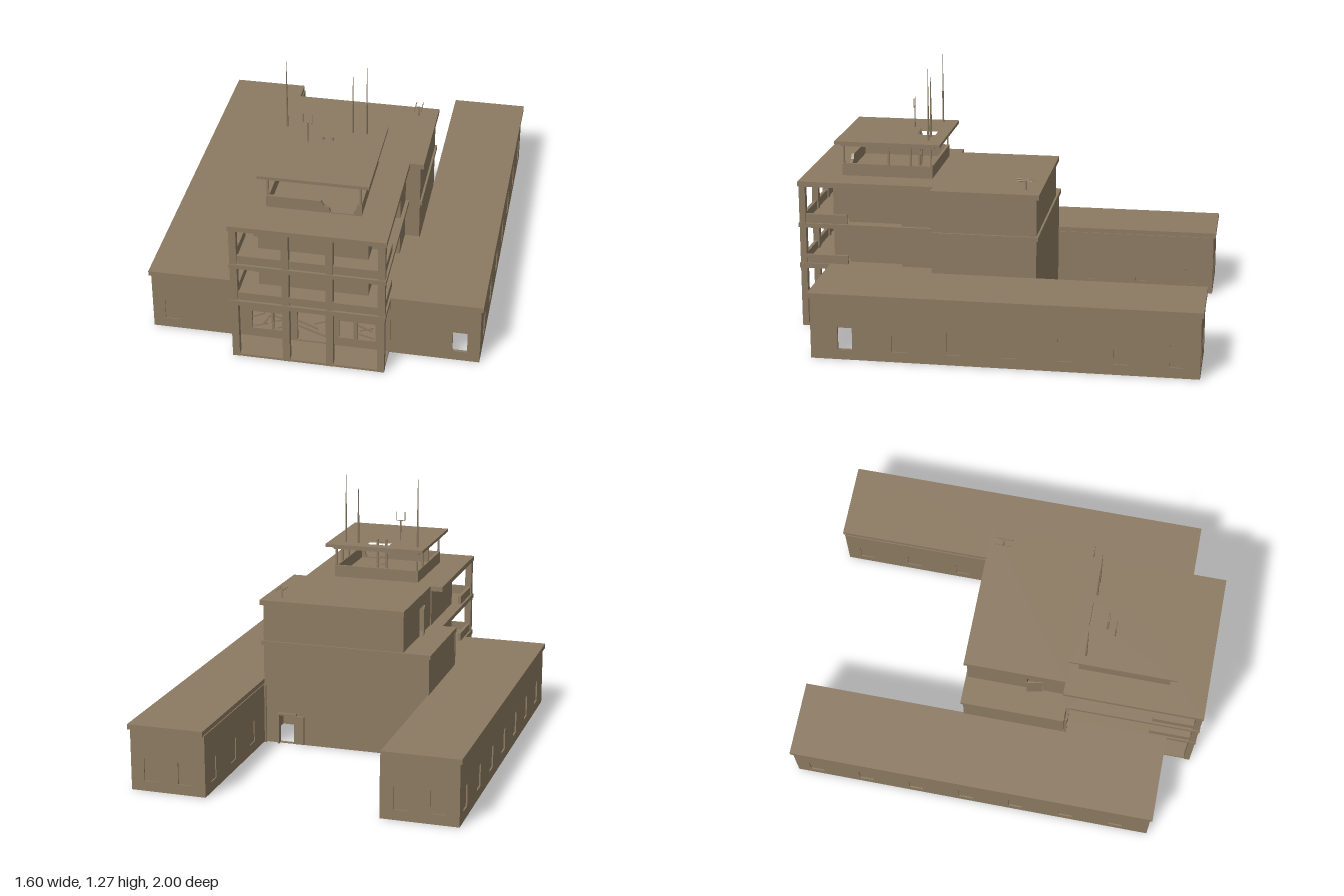
import * as THREE from 'three';

const concrete = new THREE.MeshStandardMaterial({ color: 0x8c7a62 });
concrete.name = 'weathered concrete';

export function createModel() {
  const model = new THREE.Group();
  model.name = 'controlBuilding';

  const add = (name, geo, parent = model) => {
    const m = new THREE.Mesh(geo, concrete);
    m.name = name;
    parent.add(m);
    return m;
  };
  // Box given by its extents along each axis
  const box = (name, x0, x1, y0, y1, z0, z1, parent) => {
    const m = add(name, new THREE.BoxGeometry(x1 - x0, y1 - y0, z1 - z0), parent);
    m.position.set((x0 + x1) / 2, (y0 + y1) / 2, (z0 + z1) / 2);
    return m;
  };
  const rod = (name, a, b, r0, r1 = r0, parent) => {
    const p = new THREE.Vector3(...a), q = new THREE.Vector3(...b), d = q.clone().sub(p);
    const m = add(name, new THREE.CylinderGeometry(r1, r0, d.length(), 6), parent);
    m.position.copy(p).addScaledVector(d, 0.5);
    m.quaternion.setFromUnitVectors(new THREE.Vector3(0, 1, 0), d.normalize());
    return m;
  };
  // Extruded outline with rectangular holes [u0, u1, v0, v1]
  const plate = (pts, holes, depth) => {
    const s = new THREE.Shape(pts.map(p => new THREE.Vector2(...p)));
    for (const [a, b, c, d] of holes) {
      s.holes.push(new THREE.Path([[a, c], [a, d], [b, d], [b, c]].map(p => new THREE.Vector2(...p))));
    }
    return new THREE.ExtrudeGeometry(s, { depth, bevelEnabled: false });
  };
  const rect = (a, b, c, d) => [[a, c], [b, c], [b, d], [a, d]];
  // Wall across x, occupying z - t to z
  const wallX = (name, x0, x1, y0, y1, z, t, holes) => {
    add(name, plate(rect(x0, x1, y0, y1), holes, t)).position.z = z - t;
  };
  // Wall along z, occupying x - t to x
  const wallZ = (name, z0, z1, y0, y1, x, t, holes) => {
    const m = add(name, plate(rect(z0, z1, y0, y1), holes, t));
    m.rotation.y = -Math.PI / 2;
    m.position.x = x;
  };
  // Horizontal slab; outline is given in x, z
  const slab = (name, pts, holes, y0, y1) => {
    const g = plate(pts.map(([x, z]) => [x, -z]), holes.map(([a, b, c, d]) => [a, b, -d, -c]), y1 - y0);
    const m = add(name, g);
    m.rotation.x = -Math.PI / 2;
    m.position.y = y0;
  };

  // Side wings: hollow shells with recessed windows
  const T = 0.014, H = 0.302;
  const win = c => [c - 0.035, c + 0.035, 0.05, 0.16];
  for (const s of [1, -1]) {
    const zs = [0, 1, 2, 3, 4, 5, 6].map(i => 0.675 - i * 0.26);
    const outer = s > 0 ? 0.79 : -0.79 + T;
    wallZ('wingOuterWall', -0.99, 0.84, 0, H, outer, T, zs.map(win));
    zs.forEach((z, i) => {
      if (s > 0 && i === 0) return;
      box('wingWindowPane', s * 0.781 - 0.002, s * 0.781 + 0.002, 0.05, 0.16, z - 0.035, z + 0.035);
    });

    const inner = s > 0 ? 0.42 + T : -0.42;
    const yard = zs.slice(4);
    wallZ('wingYardWall', -0.99, 0.33, 0, H, inner, T, yard.map(win));
    yard.forEach(z => box('wingYardPane', s * 0.427 - 0.002, s * 0.427 + 0.002, 0.05, 0.16, z - 0.035, z + 0.035));

    const [a, b] = s > 0 ? [0.42, 0.79] : [-0.79, -0.42];
    const backs = [s * 0.52, s * 0.69];
    wallX('wingBackWall', a, b, 0, H, -0.99 + T, T, backs.map(win));
    backs.forEach(x => box('wingBackPane', x - 0.035, x + 0.035, 0.05, 0.16, -0.983, -0.979));

    const [c, d] = s > 0 ? [0.36, 0.79] : [-0.79, -0.36];
    wallX('wingFrontWall', c, d, 0, H, 0.84, T, [win(s * 0.695)]);
    if (s < 0) box('wingFrontPane', -0.73, -0.66, 0.05, 0.16, 0.831, 0.835);
    box('wingHallWall', s * 0.367 - 0.007, s * 0.367 + 0.007, 0, H, 0.33, 0.84);
    slab('wingRoof', [[s * 0.8, -1], [s * 0.425, -1], [s * 0.425, 0.33], [s * 0.365, 0.33], [s * 0.365, 0.85], [s * 0.8, 0.85]],
      [], 0.3, 0.325);
  }

  // Ground floor: slab, hall front with openings, partition, rear wall
  box('groundSlab', -0.36, 0.36, 0, 0.012, 0.1, 0.995);
  wallX('hallFrontWall', -0.365, 0.365, 0.01, 0.302, 0.85, 0.016, [
    [-0.08, 0.08, 0.02, 0.19], [-0.3, -0.205, 0.06, 0.16], [-0.195, -0.12, 0.06, 0.16],
    [0.12, 0.19, 0.06, 0.16], [0.21, 0.295, 0.06, 0.16]]);
  wallX('hallPartition', -0.42, 0.42, 0, 0.302, 0.11, 0.014, [[-0.25, -0.18, 0.02, 0.17], [0.18, 0.25, 0.02, 0.17]]);
  wallX('rearGroundWall', -0.43, 0.42, 0, 0.31, -0.166, 0.014, [[0.26, 0.34, 0.005, 0.15]]);
  // Broken boards across the hall openings
  const boards = [
    [-0.29, 0.07, -0.23, 0.09], [-0.3, 0.12, -0.24, 0.15], [-0.25, 0.08, -0.21, 0.14],
    [-0.19, 0.14, -0.13, 0.12], [-0.19, 0.11, -0.12, 0.13], [-0.18, 0.07, -0.13, 0.09],
    [-0.08, 0.13, 0.02, 0.09], [-0.08, 0.1, 0.06, 0.05], [0.0, 0.12, 0.08, 0.15],
    [0.21, 0.14, 0.28, 0.11], [0.21, 0.09, 0.29, 0.07], [0.22, 0.11, 0.28, 0.13]];
  for (const [x0, y0, x1, y1] of boards) {
    const m = add('brokenBoard', new THREE.BoxGeometry(Math.hypot(x1 - x0, y1 - y0), 0.008, 0.006));
    m.position.set((x0 + x1) / 2, (y0 + y1) / 2, 0.843);
    m.rotation.z = Math.atan2(y1 - y0, x1 - x0);
  }
  // Rear doorway with open leaf and canopy
  box('rearDoorLeaf', 0.21, 0.26, 0.005, 0.15, -0.195, -0.18);
  box('rearDoorLintel', 0.25, 0.35, 0.15, 0.16, -0.195, -0.18);
  box('rearDoorJamb', 0.34, 0.35, 0, 0.15, -0.195, -0.18);
  rod('drainPipe', [0.412, 0, -0.19], [0.412, 0.3, -0.19], 0.006);

  // Second and third floors
  box('secondFloorRear', -0.43, 0.42, 0.3, 0.515, -0.18, 0.33);
  box('thirdFloorRear', -0.265, 0.42, 0.525, 0.72, -0.18, 0.33);
  wallZ('terraceWall', -0.18, 0.33, 0.525, 0.72, -0.265, 0.035, [[0.12, 0.2, 0.532, 0.67]]);
  const leaf = box('terraceDoorLeaf', -0.315, -0.309, 0.532, 0.67, 0.12, 0.2);
  leaf.rotation.y = 0.18;
  for (const [y0, y1] of [[0.315, 0.515], [0.525, 0.72]]) {
    box('frontRooms', -0.305, 0.31, y0, y1, 0.33, 0.76);
    box('sideRoom', 0.3, 0.35, y0, y1, 0.33, 0.49);
    box('frontBay', -0.26, 0.26, y0, y1, 0.75, 0.85);
  }

  // Floor bands and main roof
  box('firstFloorSlab', -0.365, 0.365, 0.3, 0.325, 0.32, 1);
  slab('secondFloorSlab', [[-0.44, -0.19], [0.43, -0.19], [0.43, 0.33], [0.367, 0.33], [0.367, 1],
    [-0.367, 1], [-0.367, 0.33], [-0.44, 0.33]], [], 0.508, 0.53);
  slab('mainRoof', [[-0.305, -0.195], [0.435, -0.195], [0.435, 0.33], [0.367, 0.33], [0.367, 1],
    [-0.367, 1], [-0.367, 0.31], [-0.305, 0.31]], [[-0.06, 0.06, 0.5, 0.6]], 0.715, 0.74);

  // Front columns and balcony parapets
  for (const x of [-0.345, -0.103, 0.103, 0.345]) box('frontColumn', x - 0.017, x + 0.017, 0, 0.72, 0.965, 0.996);
  for (const y of [0.32, 0.527]) {
    box('balconyParapet', -0.35, 0.35, y, y + 0.047, 0.972, 0.988);
    for (const s of [-1, 1]) box('sideParapet', s * 0.348 - 0.008, s * 0.348 + 0.008, y, y + 0.047, 0.76, 0.98);
  }

  // Lookout tower: parapet with a broken front, posts and overhanging roof
  add('towerFrontParapet', plate([[-0.225, 0.735], [0.22, 0.735], [0.22, 0.8], [0.2, 0.8], [0.192, 0.77],
    [0.18, 0.745], [0.075, 0.745], [0.068, 0.765], [0.045, 0.775], [0.03, 0.8], [-0.225, 0.8]], [], 0.014)).position.z = 0.796;
  box('towerRearParapet', -0.225, 0.22, 0.735, 0.8, 0.36, 0.374);
  box('towerLeftParapet', 0.206, 0.22, 0.735, 0.8, 0.36, 0.81);
  box('towerRightParapet', -0.225, -0.211, 0.735, 0.8, 0.36, 0.81);
  for (const x of [-0.217, 0.213]) {
    for (const z of [0.367, 0.47, 0.58, 0.802]) box('towerPost', x - 0.005, x + 0.005, 0.79, 0.895, z - 0.004, z + 0.004);
  }
  const hatch = [[-0.065, 0.065, 0.375, 0.475]];
  slab('towerCeiling', [[-0.23, 0.35], [0.225, 0.35], [0.225, 0.815], [-0.23, 0.815]], hatch, 0.889, 0.906);
  slab('towerRoof', [[-0.26, 0.315], [0.258, 0.315], [0.258, 0.838], [-0.26, 0.838]], hatch, 0.905, 0.92);

  // Ladders
  const ladder = (name, x0, x1, y0, y1, z, n, r) => {
    const g = new THREE.Group();
    g.name = name;
    model.add(g);
    for (const x of [x0, x1]) box('ladderRail', x - r, x + r, y0, y1, z - r, z + r, g);
    for (let i = 0; i < n; i++) {
      const y = y0 + (y1 - y0) * (i + 0.5) / n;
      box('ladderRung', x0, x1, y - r * 0.7, y + r * 0.7, z - r * 0.7, z + r * 0.7, g);
    }
  };
  ladder('terraceLadder', -0.425, -0.375, 0.325, 0.525, 0.339, 6, 0.006);
  ladder('towerLadder', -0.025, 0.02, 0.74, 0.93, 0.465, 5, 0.005);

  // Masts and aerials
  for (const [x, top] of [[-0.213, 1.27], [0.102, 1.22], [0.168, 1.275]]) {
    rod('mastBase', [x, 0.915, 0.388], [x, 1.08, 0.388], 0.005, 0.004);
    rod('mastTip', [x, 1.08, 0.388], [x, top, 0.388], 0.0035, 0.001);
  }
  rod('forkStem', [-0.09, 0.915, 0.508], [-0.09, 1.025, 0.508], 0.003);
  rod('forkBar', [-0.112, 1.025, 0.508], [-0.068, 1.025, 0.508], 0.002);
  for (const x of [-0.112, -0.068]) rod('forkProng', [x, 1.025, 0.508], [x, 1.07, 0.508], 0.002);
  rod('aerialStem', [0.342, 0.735, -0.12], [0.342, 0.787, -0.12], 0.003);
  rod('aerialBar', [0.322, 0.787, -0.12], [0.362, 0.787, -0.12], 0.002);
  for (const x of [0.325, 0.358]) rod('aerialRod', [x, 0.787, -0.165], [x, 0.787, -0.075], 0.002);

  return model;
}
